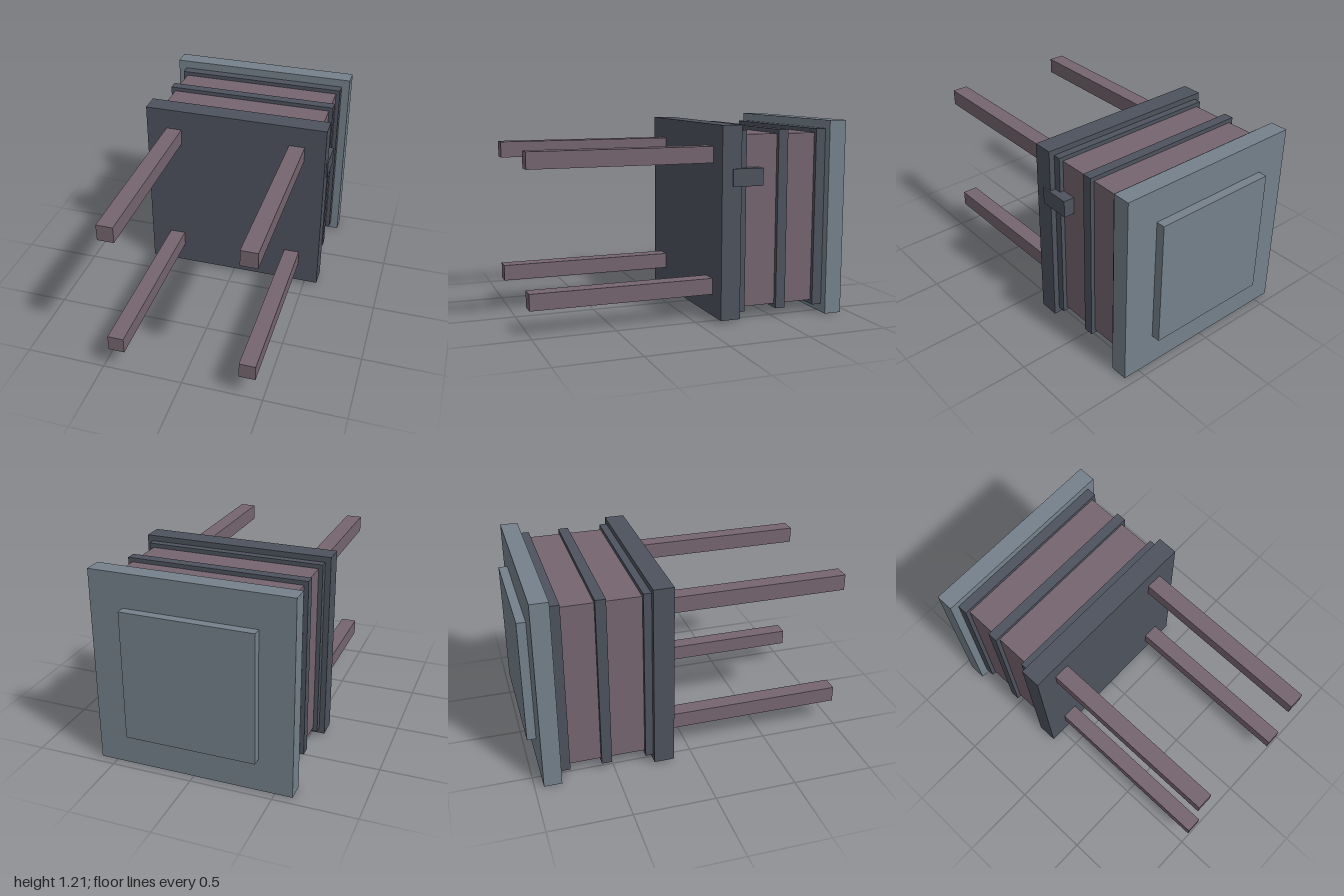
import * as THREE from 'three';

export function createModel() {
  const model = new THREE.Group();
  const material = (name, color) => {
    const m = new THREE.MeshStandardMaterial({ color });
    m.name = name;
    return m;
  };
  const wood = material('mauve wood', 0x75656f);
  const dark = material('dark slate', 0x4d525d);
  const pale = material('pale slate', 0x75818b);

  // Box given by its extents along each axis
  const block = (name, mat, [x0, x1], [y0, y1], [z0, z1]) => {
    const mesh = new THREE.Mesh(new THREE.BoxGeometry(x1 - x0, y1 - y0, z1 - z0), mat);
    mesh.position.set((x0 + x1) / 2, (y0 + y1) / 2, (z0 + z1) / 2);
    mesh.name = name;
    model.add(mesh);
  };

  // Box centred on the long axis of the body
  const slab = (name, mat, half, height, z) =>
    block(name, mat, [-half, half], [0.605 - height / 2, 0.605 + height / 2], z);

  // Body with the end plates
  slab('body', wood, 0.527, 1.055, [-0.84, -0.25]);
  slab('frontPlate', dark, 0.587, 1.174, [-0.255, -0.13]);
  slab('backPlate', pale, 0.605, 1.21, [-0.945, -0.835]);
  slab('backPanel', pale, 0.4, 0.796, [-1, -0.944]);

  // Bands around the body
  for (const z of [[-0.302, -0.254], [-0.578, -0.515], [-0.836, -0.772]]) {
    slab('band', dark, 0.553, 1.106, z);
  }

  // Latch on the left side
  block('latch', dark, [0.49, 0.596], [0.828, 0.935], [-0.395, -0.198]);

  // Four legs reaching forward
  for (const x of [-0.404, 0.404]) {
    for (const y of [0.202, 1.01]) {
      block('leg', wood, [x - 0.05, x + 0.05], [y - 0.05, y + 0.05], [-0.14, 1]);
    }
  }
  return model;
}
